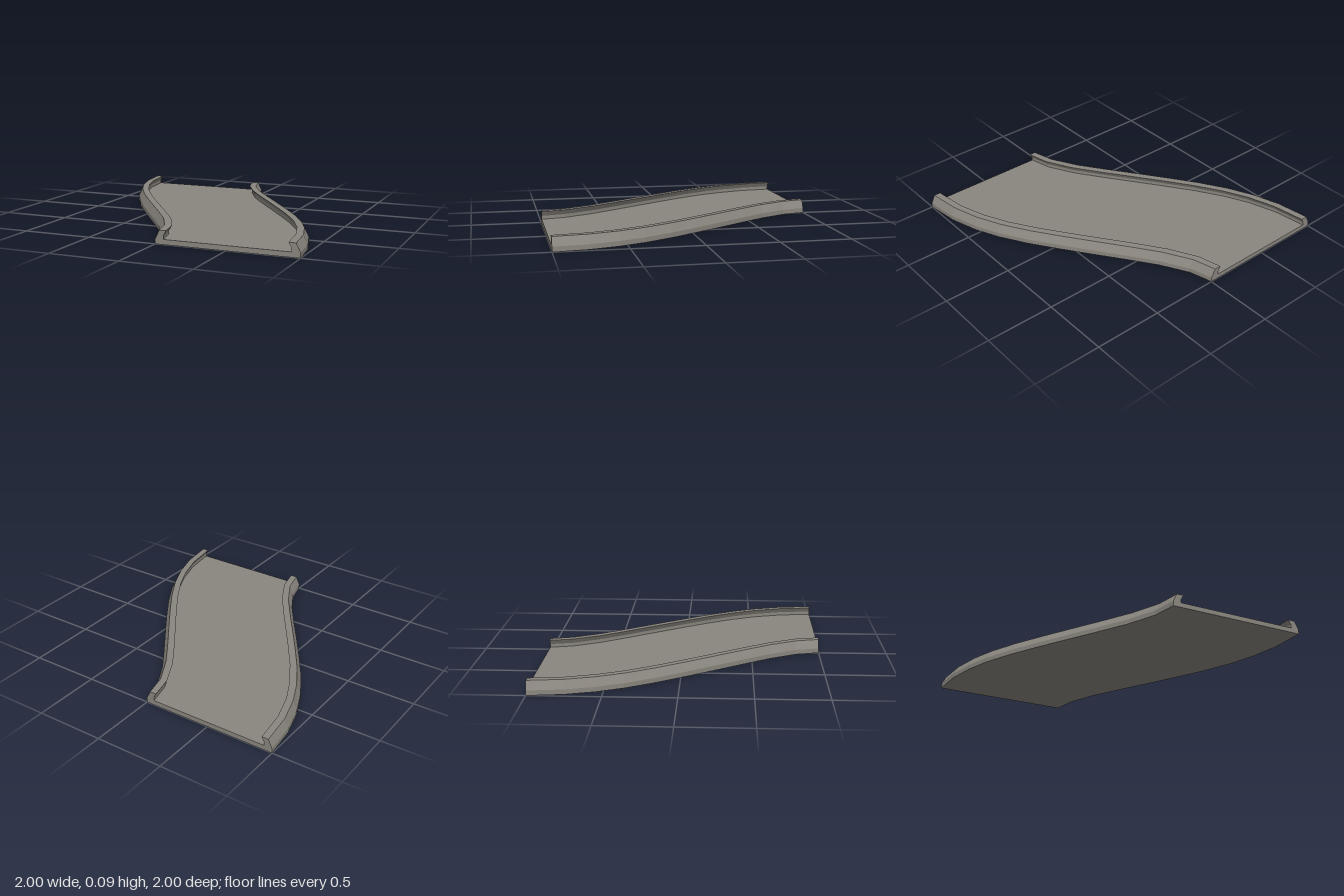
import * as THREE from 'three';

// Left outer edge of the curved piece as [x, z], from back to front
const EDGE = [
  [-1, -1], [-0.97, -0.757], [-0.91, -0.55], [-0.83, -0.368], [-0.715, -0.17], [-0.58, 0.03],
  [-0.435, 0.235], [-0.295, 0.43], [-0.155, 0.63], [-0.045, 0.83], [0, 1],
];
const N = EDGE.length - 1;
const BASE_H = 0.035;

// Sweeps closed counterclockwise cross-sections (arrays of [x, y, z]) and caps both ends
function sweep(sections) {
  const positions = [];
  const tri = (...pts) => pts.forEach((p) => positions.push(...p));
  const n = sections[0].length;
  for (let i = 0; i < sections.length - 1; i++) {
    const s = sections[i], t = sections[i + 1];
    for (let j = 0; j < n; j++) {
      const k = (j + 1) % n;
      tri(s[j], s[k], t[j]);
      tri(s[k], t[k], t[j]);
    }
  }
  const first = sections[0], last = sections[sections.length - 1];
  const flat = (s) => s.map(([x, y]) => new THREE.Vector2(x, y));
  for (const [a, b, c] of THREE.ShapeUtils.triangulateShape(flat(first), [])) tri(first[a], first[c], first[b]);
  for (const [a, b, c] of THREE.ShapeUtils.triangulateShape(flat(last), [])) tri(last[a], last[b], last[c]);
  const g = new THREE.BufferGeometry();
  g.setAttribute('position', new THREE.Float32BufferAttribute(positions, 3));
  g.computeVertexNormals();
  return g;
}

// Sideways stretch that keeps the rail equally thick where the path runs diagonally
function stretch(i) {
  if (i === 0 || i === N) return 1;
  const [x0, z0] = EDGE[i - 1], [x1, z1] = EDGE[i + 1];
  return Math.hypot(1, (x1 - x0) / (z1 - z0));
}

export function createModel() {
  const group = new THREE.Group();
  const stone = new THREE.MeshStandardMaterial({ color: 0x8a867f, flatShading: true });
  stone.name = 'warm grey';

  // Flat base between the left edge and its half-turn copy
  const base = new THREE.Mesh(sweep(EDGE.map(([x, z], i) => {
    const [rx, rz] = EDGE[N - i];
    return [[x, 0, z], [-rx, 0, -rz], [-rx, BASE_H, -rz], [x, BASE_H, z]];
  })), stone);
  base.name = 'base';
  group.add(base);

  // Inward-leaning rail profile: [distance from outer edge, height]
  const profile = [[0, BASE_H], [0.06, BASE_H], [0.06, 0.06], [0.08, 0.095], [0.03, 0.095]];
  const railGeometry = sweep(EDGE.map(([x, z], i) => profile.map(([d, y]) => [x + d * stretch(i), y, z])));
  ['rightRail', 'leftRail'].forEach((name, i) => {
    const rail = new THREE.Mesh(railGeometry, stone);
    rail.name = name;
    rail.rotation.y = i * Math.PI;
    group.add(rail);
  });
  return group;
}
